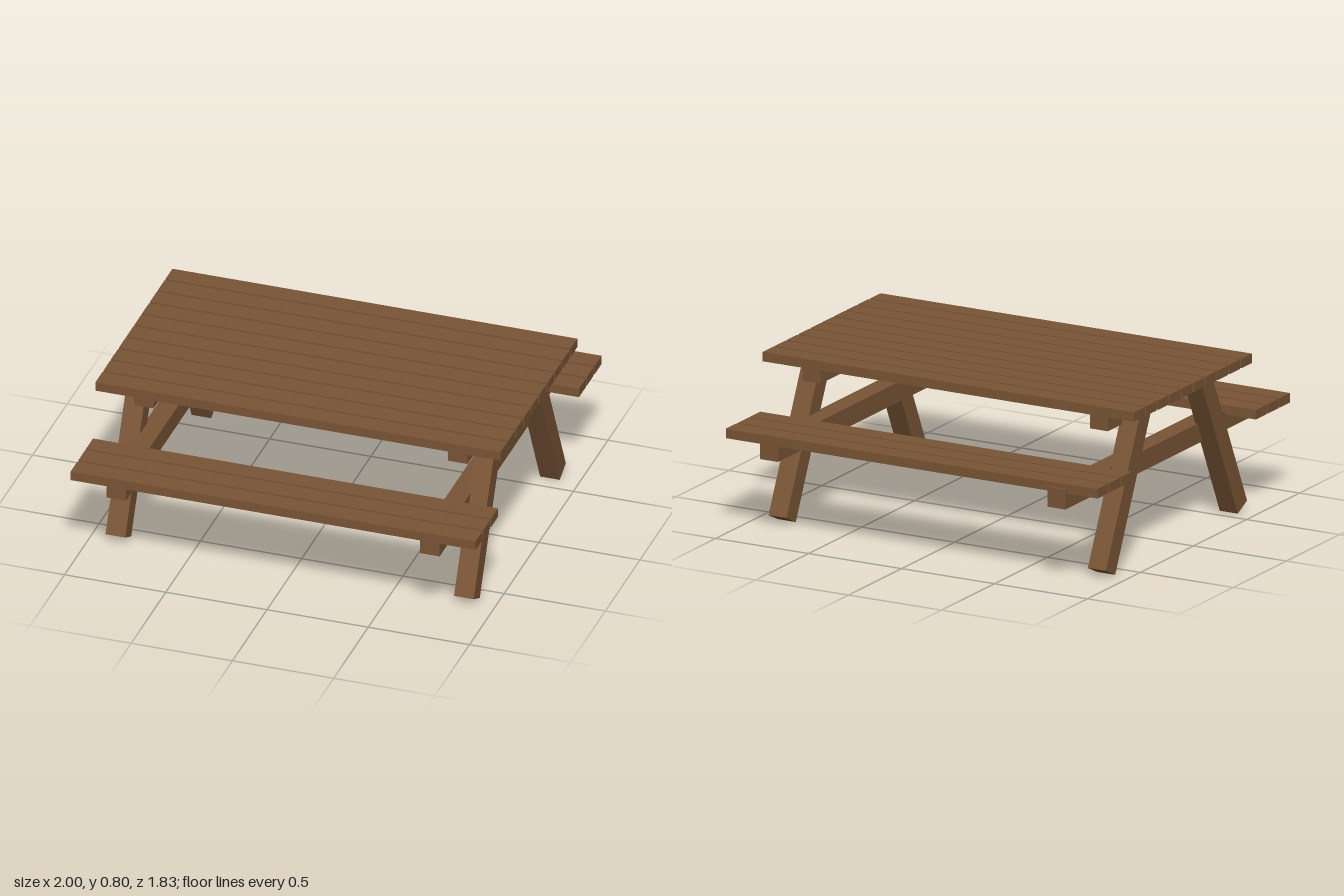
import * as THREE from 'three';

export function createModel() {
  const table = new THREE.Group();
  table.name = 'picnicTable';
  const wood = new THREE.MeshStandardMaterial({ color: 0x7a5536 });
  wood.name = 'brown wood';

  const PLANK_W = 0.099, PLANK_T = 0.046, PITCH = 0.1123;
  const BEAM = 0.097; // square timber used for beams and legs
  const LEG_LENGTH = 0.796, LEG_TILT = THREE.MathUtils.degToRad(25.4);

  function timber(parent, name, size, position) {
    const mesh = new THREE.Mesh(new THREE.BoxGeometry(...size), wood);
    mesh.name = name;
    mesh.position.set(...position);
    parent.add(mesh);
    return mesh;
  }

  // A row of evenly spaced planks running along x
  function plankRow(name, count, y, zCentre) {
    const row = new THREE.Group();
    row.name = name;
    for (let i = 0; i < count; i++) {
      const z = zCentre + (i - (count - 1) / 2) * PITCH;
      timber(row, name + 'Plank', [2, PLANK_T, PLANK_W], [0, y, z]);
    }
    table.add(row);
  }
  plankRow('tabletop', 10, 0.773, -0.002);
  plankRow('frontSeat', 3, 0.488, 0.751);
  plankRow('rearSeat', 3, 0.488, -0.743);

  // An end frame: two cross beams with a pair of splayed legs outside them
  function endFrame(name, beamX, legX, zShift) {
    const frame = new THREE.Group();
    frame.name = name;
    frame.position.z = zShift;
    timber(frame, 'topBeam', [BEAM, BEAM, 0.996], [beamX, 0.715, 0]);
    timber(frame, 'seatBeam', [BEAM, BEAM, 1.8], [beamX, 0.437, 0]);
    const legSize = [BEAM, LEG_LENGTH, BEAM];
    timber(frame, 'frontLeg', legSize, [legX, 0.381, 0.449]).rotation.x = -LEG_TILT;
    timber(frame, 'rearLeg', legSize, [legX, 0.381, -0.453]).rotation.x = LEG_TILT;
    table.add(frame);
  }
  endFrame('leftEndFrame', 0.77, 0.857, 0);
  endFrame('rightEndFrame', -0.784, -0.869, -0.013);

  return table;
}
